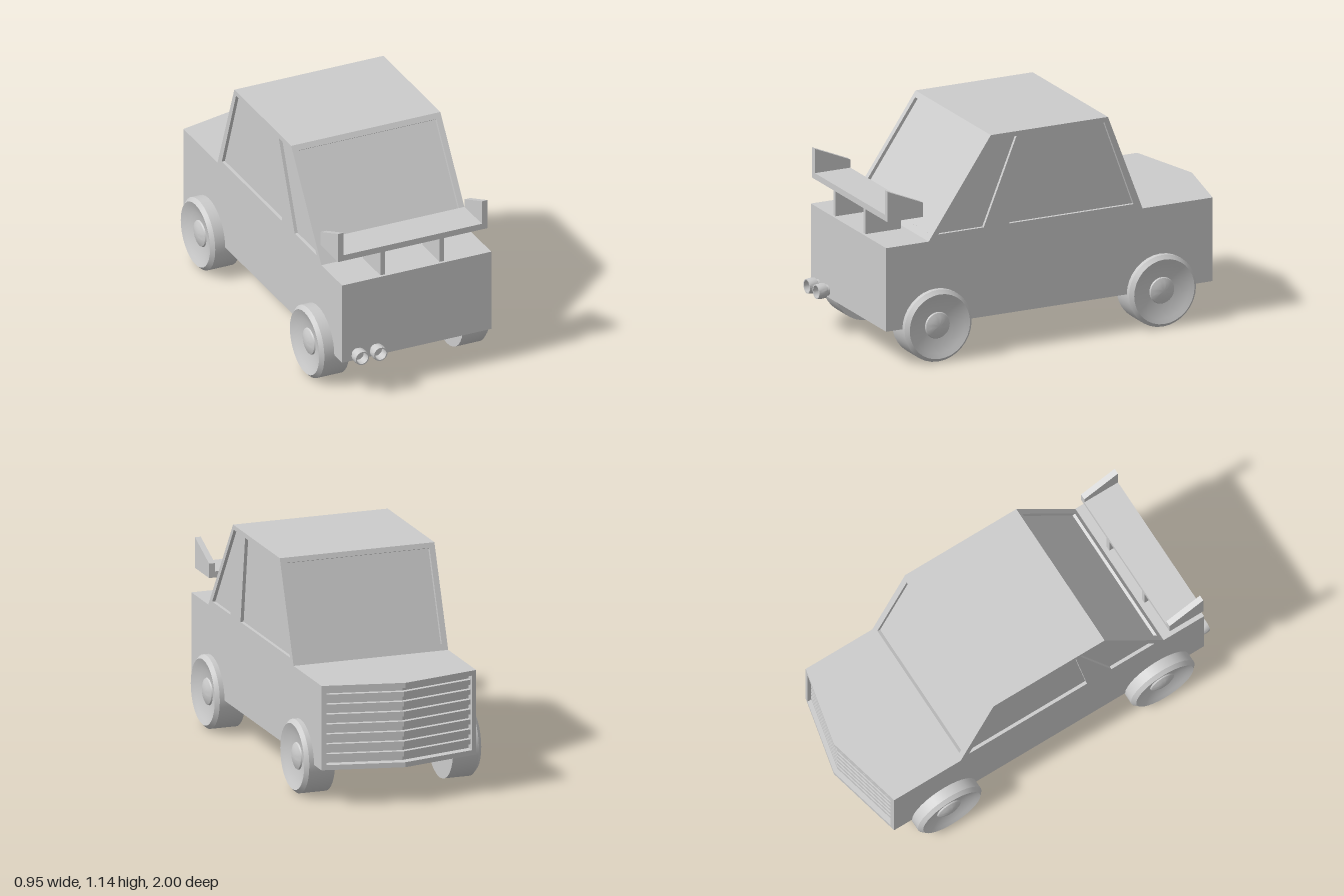
import * as THREE from 'three';
import { toCreasedNormals } from 'three/addons/utils/BufferGeometryUtils.js';

const MAT = new THREE.MeshStandardMaterial({ color: 0xcccccc });
const X0 = -0.4, X1 = 0.43, MID = 0.015, HALF = 0.415; // body is slightly off centre
const POST = 0.03, RECESS = 0.017;
const FLOOR = 0.195, DECK = 0.635;

const toShape = (pts) => new THREE.Shape(pts.map(([a, b]) => new THREE.Vector2(a, b)));

function add(parent, name, geometry) {
  const mesh = new THREE.Mesh(geometry, MAT);
  mesh.name = name;
  parent.add(mesh);
  return mesh;
}

// Side profile given as [z, y], extruded from x0 to x1
function extrudeX(pts, x0, x1, holes = []) {
  const shape = toShape(pts);
  holes.forEach((h) => shape.holes.push(toShape(h)));
  const g = new THREE.ExtrudeGeometry(shape, { depth: x1 - x0, bevelEnabled: false });
  return g.rotateY(-Math.PI / 2).translate(x1, 0, 0);
}

// Plan outline given as [x, z], extruded from y0 to y1
function extrudeY(pts, y0, y1) {
  const g = new THREE.ExtrudeGeometry(toShape(pts), { depth: y1 - y0, bevelEnabled: false });
  return g.rotateX(Math.PI / 2).translate(0, y1, 0);
}

// Notch cut into a sloped edge between a and b, perpendicular to the edge
function notch(a, b, yFrom, yTo) {
  const at = (y) => [a[0] + ((b[0] - a[0]) * (y - a[1])) / (b[1] - a[1]), y];
  const len = Math.hypot(b[0] - a[0], b[1] - a[1]);
  const nz = -(b[1] - a[1]) / len, ny = (b[0] - a[0]) / len; // inward for counterclockwise profile
  const inset = ([z, y]) => [z + nz * RECESS, y + ny * RECESS];
  const p = at(yFrom), q = at(yTo);
  return [p, inset(p), inset(q), q];
}

function buildBody(car) {
  const back = -0.85;
  const w0 = [0.695, DECK], w1 = [0.345, 1.145], r1 = [-0.315, 1.145], r0 = [-0.51, DECK];
  const base = [[back, FLOOR], [0.935, FLOOR], [0.935, DECK]];

  // Core with recessed front and rear screens
  const core = [...base, w0, ...notch(w0, w1, 0.665, 1.12), w1, r1,
    ...notch(r1, r0, 1.12, 0.665), r0, [back, DECK]];
  add(car, 'bodyCore', extrudeX(core, X0 + POST, X1 - POST));

  // Side walls with window openings
  const outline = [...base, w0, w1, r1, r0, [back, DECK]];
  const windows = [
    [[0.64, 0.665], [0.335, 1.12], [0.2, 1.12], [0.385, 0.665]],
    [[0.24, 0.665], [0.175, 1.12], [-0.295, 1.12], [-0.46, 0.665]],
  ];
  for (const [side, x] of [['right', X0], ['left', X1 - POST]]) {
    add(car, side + 'SideWall', extrudeX(outline, x, x + POST, windows));
    const paneX = side === 'left' ? x : x + RECESS;
    windows.forEach((w, i) =>
      add(car, side + (i ? 'LargeWindow' : 'SmallWindow'), extrudeX(w, paneX, paneX + POST - RECESS)));
  }
}

// V-shaped grille with horizontal slats
function buildGrille(car) {
  const grille = new THREE.Group();
  grille.name = 'grille';
  car.add(grille);
  const base = -0.85, slope = 0.095 / HALF, inner = HALF - 0.025;
  const chevron = (tip, w) => [[MID - w, base], [MID - w, tip + slope * w], [MID, tip],
    [MID + w, tip + slope * w], [MID + w, base]];
  const pitch = (DECK - FLOOR) / 8.5, bar = pitch / 2;

  add(grille, 'grilleBacking', extrudeY(chevron(-0.955, inner), FLOOR + bar, DECK - bar));
  for (let i = 0; i < 9; i++) {
    const y = FLOOR + i * pitch, edge = i === 0 || i === 8;
    add(grille, edge ? 'grilleBorder' : 'grilleSlat',
      extrudeY(edge ? chevron(-1, HALF) : chevron(-0.98, inner), y, y + bar));
  }
  for (const s of [-1, 1]) {
    const post = [[MID + s * HALF, base], [MID + s * HALF, -1 + slope * HALF],
      [MID + s * inner, -1 + slope * inner], [MID + s * inner, base]];
    add(grille, 'grillePost', extrudeY(post, FLOOR + bar, DECK - bar));
  }
}

function buildSpoiler(car) {
  const spoiler = new THREE.Group();
  spoiler.name = 'spoiler';
  car.add(spoiler);
  const z0 = 0.72, z1 = 0.92;
  const rect = (y0, y1) => [[z0, y0], [z1, y0], [z1, y1], [z0, y1]];
  add(spoiler, 'spoilerWing', extrudeX(rect(0.765, 0.797), -0.385, 0.385));
  const plate = [[z0, 0.765], [z1, 0.765], [z1, 0.925], [z0, 0.84]];
  for (const x of [-0.416, 0.385]) add(spoiler, 'spoilerEndPlate', extrudeX(plate, x, x + 0.031));
  for (const x of [-0.18, 0.15]) add(spoiler, 'spoilerSupport', extrudeX(rect(DECK, 0.765), x, x + 0.025));
}

const lathe = (pts, segments) => toCreasedNormals(
  new THREE.LatheGeometry(pts.map(([r, h]) => new THREE.Vector2(r, h)), segments), 0.5);

// Bevelled tyre, dished face and domed hub
function buildWheels(car) {
  const wheel = lathe([[0, 0], [0.189, 0], [0.189, 0.138], [0.17, 0.158], [0.145, 0.148],
    [0.11, 0.136], [0.07, 0.13], [0.066, 0.137], [0.045, 0.146], [0.022, 0.151], [0, 0.152]], 32);
  wheel.rotateZ(-Math.PI / 2);
  for (const [end, z] of [['front', 0.655], ['rear', -0.61]]) {
    for (const s of [-1, 1]) {
      const mesh = add(car, end + (s > 0 ? 'Left' : 'Right') + 'Wheel', wheel);
      mesh.position.set(s * 0.317, 0.194, z);
      if (s < 0) mesh.rotation.y = Math.PI;
    }
  }
}

// Pair of hollow pipes with flared tips
function buildPipes(car) {
  const pipe = lathe([[0.028, -0.01], [0.028, 0.012], [0.038, 0.018], [0.04, 0.04], [0.037, 0.065],
    [0.031, 0.065], [0.031, 0.015], [0, 0.015]], 24);
  pipe.rotateX(Math.PI / 2);
  for (const x of [-0.318, -0.216]) add(car, 'exhaustPipe', pipe).position.set(x, 0.232, 0.935);
}

export function createModel() {
  const car = new THREE.Group();
  car.name = 'car';
  buildBody(car);
  buildGrille(car);
  buildSpoiler(car);
  buildWheels(car);
  buildPipes(car);
  return car;
}
